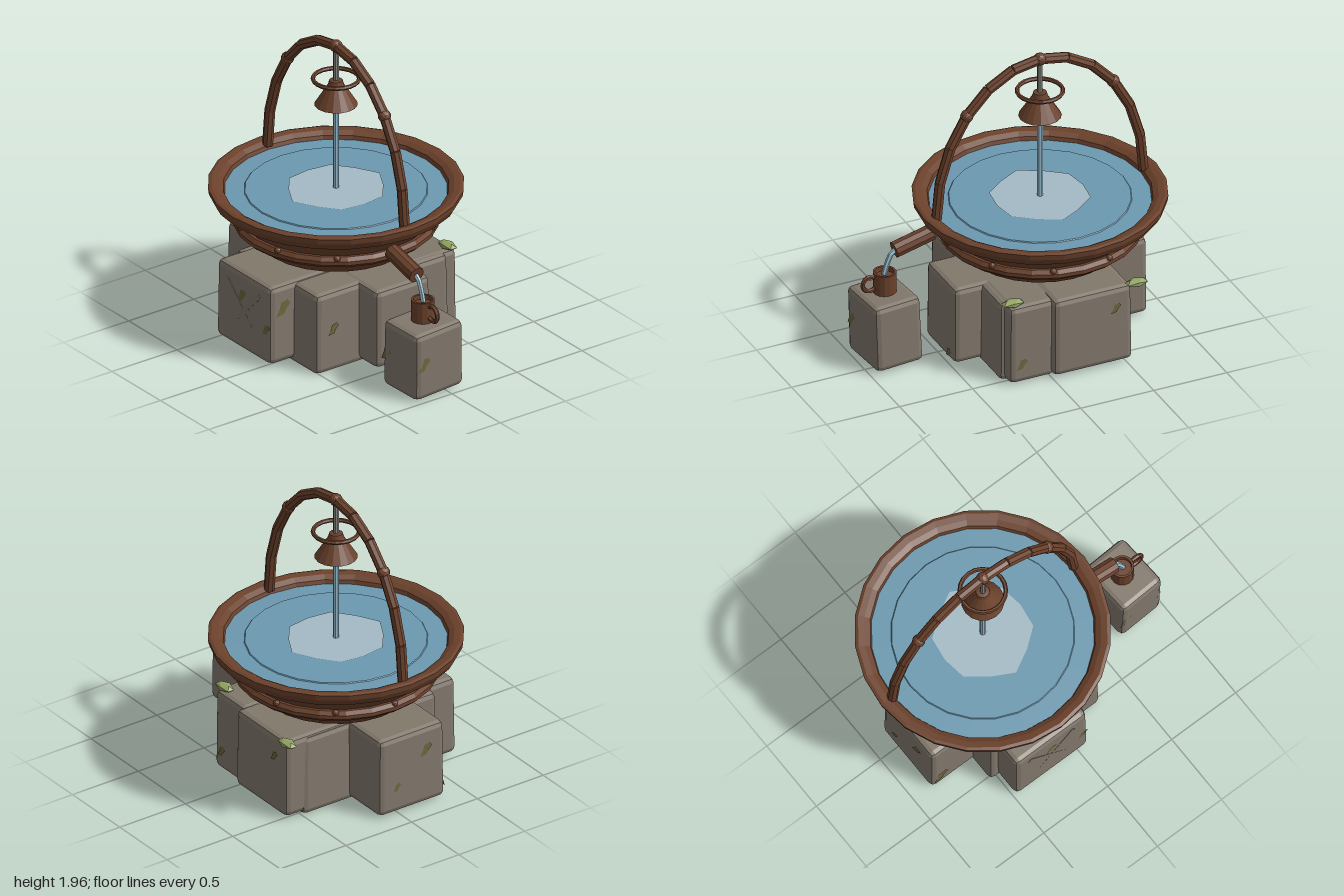
import * as THREE from 'three';
import { RoundedBoxGeometry } from 'three/addons/geometries/RoundedBoxGeometry.js';

const colour = (name, hex, side = THREE.FrontSide) => {
  const m = new THREE.MeshStandardMaterial({ color: hex, side });
  m.name = name;
  return m;
};

// Facet a geometry so every face has its own normal
function flat(g) {
  const f = g.index ? g.toNonIndexed() : g;
  f.computeVertexNormals();
  return f;
}

export function createModel() {
  const group = new THREE.Group();
  const wood = colour('brown wood', 0x6b412b);
  const stone = colour('grey stone', 0x82786c);
  const water = colour('blue water', 0x6c99b0);
  const foam = colour('pale water', 0xa4bac5);
  const stream = colour('stream water', 0x9cc3d6);
  const metal = colour('grey rod', 0x8a8a86);
  const leaf = colour('green moss', 0x93a463);
  const stain = colour('olive moss', 0x6d683e, THREE.DoubleSide);

  function add(name, geo, mat, x = 0, y = 0, z = 0, parent = group) {
    const m = new THREE.Mesh(geo, mat);
    m.name = name;
    m.position.set(x, y, z);
    parent.add(m);
    return m;
  }

  // Straight tube between two points
  function rod(name, a, b, r, mat, parent = group, sides = 8) {
    const va = new THREE.Vector3(...a), vb = new THREE.Vector3(...b);
    const m = add(name, flat(new THREE.CylinderGeometry(r, r, va.distanceTo(vb), sides)), mat, 0, 0, 0, parent);
    m.position.lerpVectors(va, vb, 0.5);
    m.quaternion.setFromUnitVectors(new THREE.Vector3(0, 1, 0), vb.sub(va).normalize());
    return m;
  }

  // Chamfered block given by its limits, slightly narrower at the top
  function block(name, x0, x1, y0, y1, z0, z1) {
    const h = y1 - y0;
    const g = new RoundedBoxGeometry(x1 - x0, h, z1 - z0, 1, 0.035);
    const p = g.attributes.position;
    for (let i = 0; i < p.count; i++) {
      const s = 1 - 0.02 * (p.getY(i) / h + 0.5);
      p.setX(i, p.getX(i) * s);
      p.setZ(i, p.getZ(i) * s);
    }
    return add(name, flat(g), stone, (x0 + x1) / 2, (y0 + y1) / 2, (z0 + z1) / 2);
  }

  // Stone base
  block('centreStone', -0.55, 0.31, 0.01, 0.55, -0.5, 0.53);
  block('frontStone', -0.49, 0.075, 0.04, 0.565, 0.2, 0.71);
  block('leftStone', 0.1, 0.49, 0.03, 0.555, -0.22, 0.2);
  block('rightStone', -0.87, -0.5, 0.025, 0.555, -0.15, 0.35);
  block('backRightStone', -0.54, 0.0, 0.03, 0.56, -0.625, -0.1);
  block('backLeftStone', -0.03, 0.28, 0.02, 0.555, -0.58, -0.1);
  block('mugStone', 0.655, 0.985, 0.03, 0.48, -0.105, 0.28).rotation.set(0.02, 0.06, -0.03);

  // Crossed bars on the front stone
  for (const s of [-1, 1]) {
    const bar = add('crossBar', new THREE.BoxGeometry(0.03, 0.48, 0.009), stone, -0.21, 0.305, 0.704);
    bar.rotation.z = s * Math.PI / 4;
  }

  // Moss stains: [x, y, z, turn about y, size]
  const blot = [[-1, -0.9], [0.1, -0.7], [0.5, 0], [1, 0.5], [0.6, 1], [-0.3, 0.8], [-0.5, 0.1]];
  const stains = [
    [-0.22, 0.41, 0.709, 0, 0.045], [0.03, 0.27, 0.709, 0, 0.04],
    [-0.8, 0.14, 0.353, 0, 0.06], [0.7, 0.25, 0.284, 0, 0.05],
    [0.076, 0.41, 0.61, 1, 0.055], [0.992, 0.26, 0.21, 1, 0.05],
    [0.494, 0.08, -0.14, 1, 0.035], [0.314, 0.3, 0.4, 1, 0.04],
    [-0.874, 0.4, 0.2, -1, 0.045], [-0.874, 0.2, -0.02, -1, 0.03],
    [0.2, 0.15, -0.584, 2, 0.04], [-0.42, 0.42, -0.629, 2, 0.035],
  ];
  for (const [x, y, z, turn, s] of stains) {
    const shape = new THREE.Shape(blot.map(([u, v]) => new THREE.Vector2(u * s, v * s)));
    add('mossStain', new THREE.ShapeGeometry(shape), stain, x, y, z).rotation.y = turn * Math.PI / 2;
  }

  // Moss clumps on the back edge
  for (const [x, z] of [[-0.56, -0.63], [0.24, -0.53]]) {
    const m = add('mossClump', flat(new THREE.IcosahedronGeometry(1, 0)), leaf, x, 0.575, z);
    m.scale.set(0.08, 0.026, 0.045);
  }

  // Basin, centred on its own axis
  const basin = new THREE.Group();
  basin.name = 'basin';
  basin.position.x = -0.2;
  group.add(basin);
  const lathe = (name, pts, mat, sides = 24) =>
    add(name, flat(new THREE.LatheGeometry(pts.map(p => new THREE.Vector2(...p)), sides)), mat, 0, 0, 0, basin);

  lathe('bowl', [[0, 0.59], [0.44, 0.59], [0.48, 0.61], [0.57, 0.71], [0.6, 0.78], [0.7, 0.91]], wood);
  lathe('rim', [[0.68, 0.91], [0.765, 0.905], [0.79, 0.95], [0.795, 0.985], [0.775, 0.992],
    [0.735, 0.985], [0.7, 0.965], [0.68, 0.91]], wood);
  lathe('band', [[0.55, 0.705], [0.61, 0.705], [0.638, 0.73], [0.638, 0.755], [0.62, 0.78], [0.57, 0.78], [0.55, 0.705]], wood);
  for (let i = 0; i < 10; i++) {
    const a = (18 + 36 * i) * Math.PI / 180;
    add('rivet', flat(new THREE.IcosahedronGeometry(0.022, 1)), wood, Math.sin(a) * 0.62, 0.77, Math.cos(a) * 0.62, basin);
  }

  // Water with a shallow ripple step and a pale pool where the stream lands
  lathe('water', [[0.71, 0.94], [0.57, 0.944], [0.565, 0.95], [0, 0.95]], water).scale.y = 1;
  const pool = new THREE.Shape();
  for (let i = 0; i < 12; i++) {
    const a = i * Math.PI / 6, r = i % 6 === 3 ? 0.335 : i % 2 ? 0.315 : 0.295;
    pool[i ? 'lineTo' : 'moveTo'](Math.cos(a) * r, Math.sin(a) * r);
  }
  add('palePool', new THREE.ShapeGeometry(pool), foam, 0, 0.956, 0, basin).rotation.x = -Math.PI / 2;

  // Segmented arch with knobs at the quarter points
  const arch = i => [-0.708 * Math.cos(i * Math.PI / 12), 0.965 + 0.965 * Math.sin(i * Math.PI / 12), 0];
  for (let i = 0; i < 12; i++) rod('archSegment', arch(i), arch(i + 1), 0.034, wood, basin);
  for (const i of [3, 6, 9]) add('archKnob', flat(new THREE.IcosahedronGeometry(0.042, 1)), wood, ...arch(i), basin);

  // Hanging rod, bell, ring and falling stream
  rod('hangingRod', [0, 1.67, 0], [0, 1.92, 0], 0.018, metal, basin);
  lathe('bell', [[0, 1.55], [0.12, 1.53], [0.135, 1.53], [0.05, 1.665], [0.042, 1.695], [0, 1.7]], wood, 16);
  const ring = add('bellRing', flat(new THREE.TorusGeometry(0.143, 0.014, 6, 20)), wood, 0, 1.705, 0, basin);
  ring.rotation.x = Math.PI / 2;
  rod('fallingStream', [0, 0.94, 0], [0, 1.56, 0], 0.019, stream, basin);

  // Spout and its stream
  rod('spout', [0.5, 0.82, 0.09], [0.755, 0.757, 0.09], 0.054, wood, group, 10);
  const path = new THREE.CatmullRomCurve3([[0.72, 0.765], [0.77, 0.74], [0.8, 0.68], [0.825, 0.6]]
    .map(([x, y]) => new THREE.Vector3(x, y, 0.09)));
  add('spoutStream', flat(new THREE.TubeGeometry(path, 6, 0.017, 6)), stream);

  // Mug
  const mug = add('mug', flat(new THREE.LatheGeometry([[0, 0.48], [0.074, 0.48], [0.074, 0.62], [0.06, 0.62],
    [0.058, 0.59], [0, 0.59]].map(p => new THREE.Vector2(...p)), 14)), wood, 0.82, 0, 0.09);
  add('mugHandle', flat(new THREE.TorusGeometry(0.05, 0.015, 6, 12, Math.PI * 1.5)), wood, 0.1, 0.555, 0, mug)
    .rotation.z = -Math.PI * 0.75;

  return group;
}
